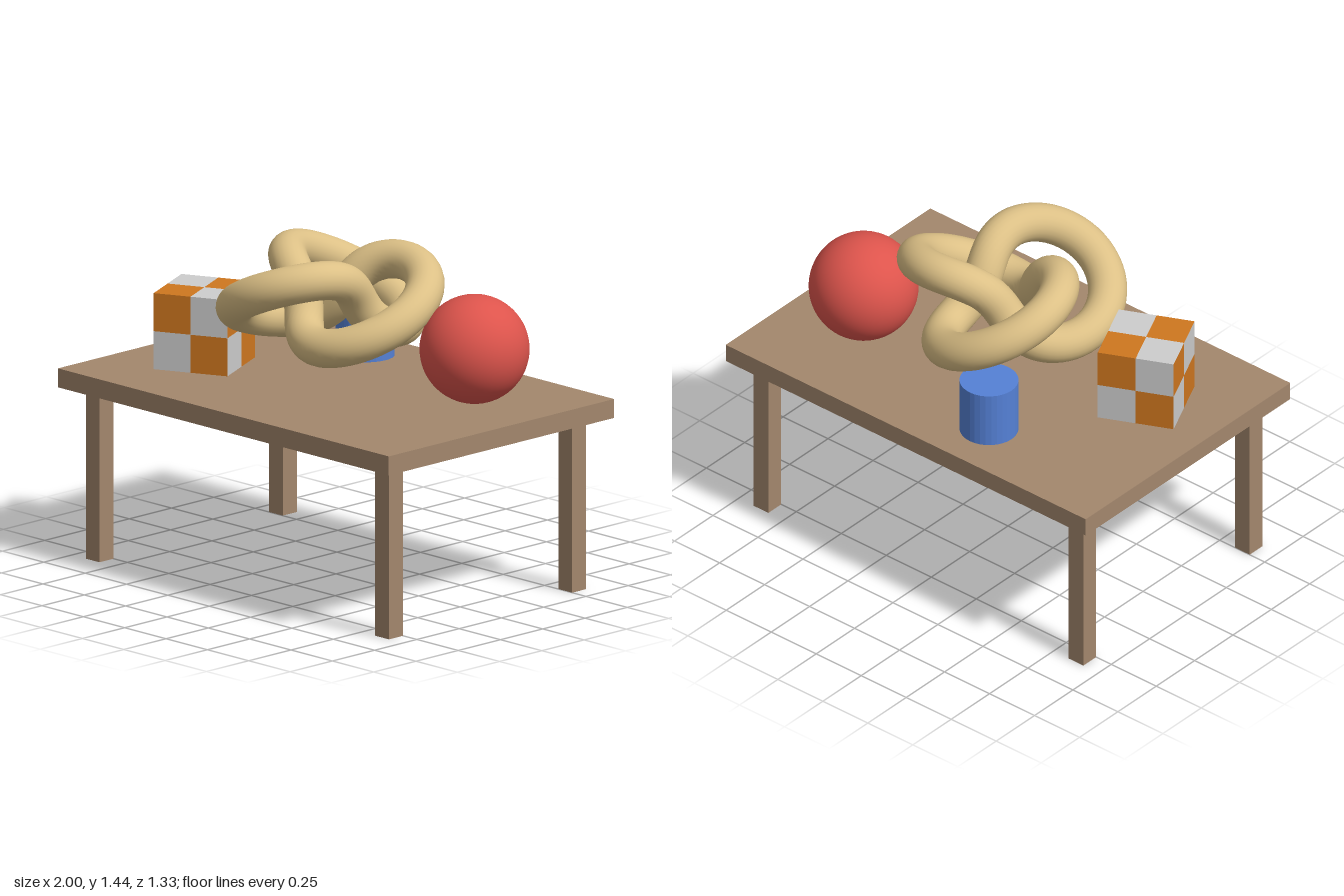
import * as THREE from 'three';

const paint = (name, color) => {
  const m = new THREE.MeshStandardMaterial({ color });
  m.name = name;
  return m;
};

export function createModel() {
  const model = new THREE.Group();
  model.name = 'tableWithSolids';

  const wood = paint('brown wood', 0xa3876d);
  const red = paint('red', 0xdd544c);
  const blue = paint('blue', 0x5581d6);
  const tan = paint('tan', 0xdcc086);
  const orange = paint('orange', 0xcf771f);
  const grey = paint('light grey', 0xcdcdcd);

  const add = (name, geometry, material, x, y, z) => {
    const mesh = new THREE.Mesh(geometry, material);
    mesh.name = name;
    mesh.position.set(x, y, z);
    model.add(mesh);
    return mesh;
  };

  // Table
  const topY = 0.833;
  add('tableTop', new THREE.BoxGeometry(2, 0.083, 1.333), wood, 0, topY - 0.0415, 0);
  const legGeometry = new THREE.BoxGeometry(0.083, 0.75, 0.083);
  for (const [end, z] of [['front', 0.542], ['back', -0.542]]) {
    for (const [side, x] of [['Left', 0.875], ['Right', -0.875]]) {
      add(`${end}${side}Leg`, legGeometry, wood, x, 0.375, z);
    }
  }

  // Ball resting on the table
  add('ball', new THREE.SphereGeometry(0.233, 48, 32), red, 0.623, topY + 0.233, -0.21);

  // Faceted cylinder
  const cylinder = new THREE.CylinderGeometry(0.125, 0.125, 0.25, 32).toNonIndexed();
  cylinder.computeVertexNormals();
  add('cylinder', cylinder, blue, -0.25, topY + 0.125, -0.417);

  // Checkered cube: four squares per face, the top and bottom start on grey
  const size = 0.333;
  const cube = new THREE.BoxGeometry(size, size, size, 2, 2, 2);
  cube.clearGroups();
  for (let face = 0; face < 6; face++) {
    const shift = face === 2 || face === 3 ? 1 : 0;
    for (let cell = 0; cell < 4; cell++) {
      const odd = (cell % 2) + Math.floor(cell / 2) + shift;
      cube.addGroup((face * 4 + cell) * 6, 6, odd % 2);
    }
  }
  const checkered = add('checkeredCube', cube, [orange, grey], -0.627, topY + size / 2, 0.165);
  checkered.rotation.y = THREE.MathUtils.degToRad(25);

  // Knotted ring lying flat above the table
  const knot = add('knot', new THREE.TorusKnotGeometry(0.288, 0.083, 192, 24, 2, 3), tan, 0, 1.213, 0);
  knot.rotation.x = -Math.PI / 2;

  return model;
}
